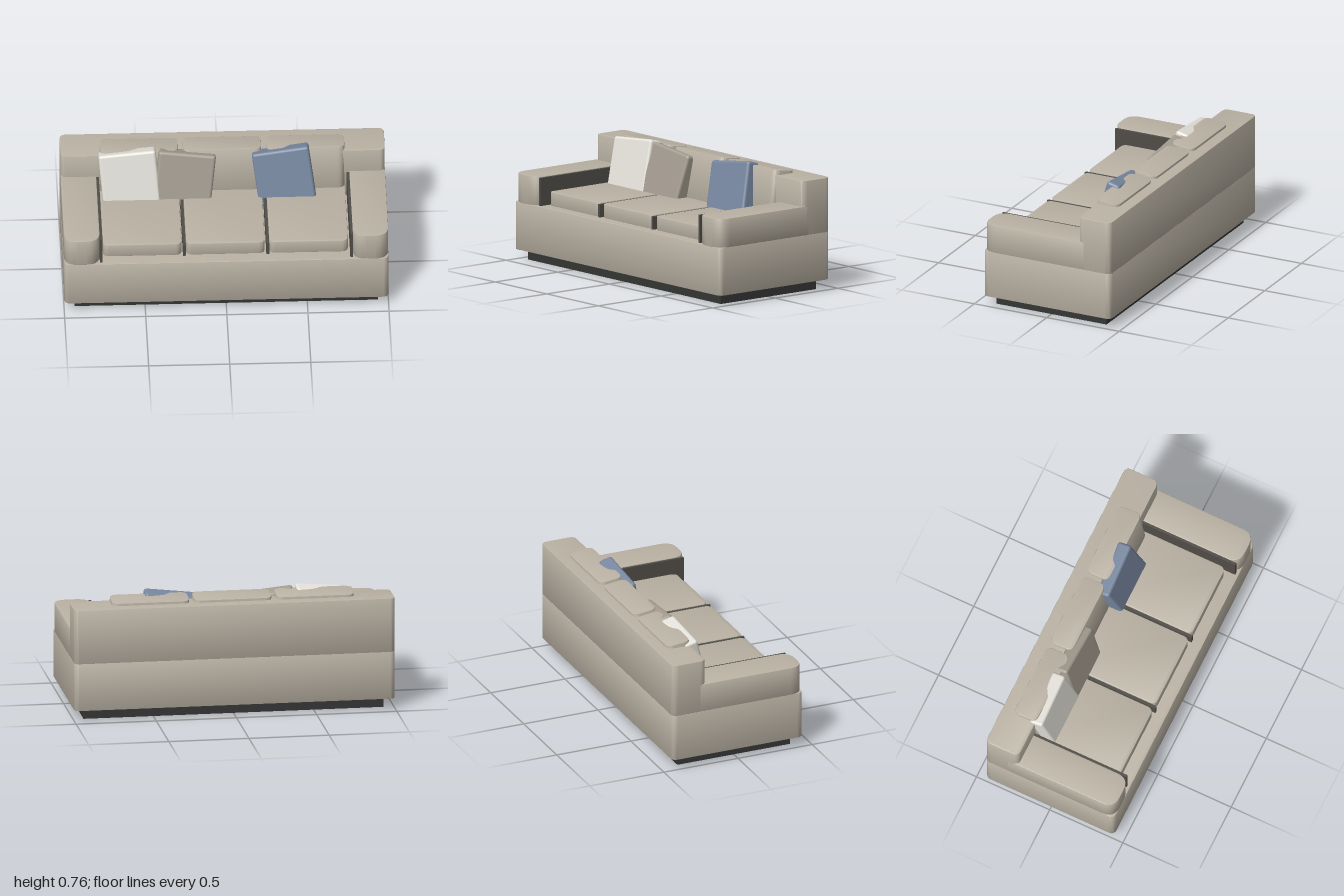
import * as THREE from 'three';
import { toCreasedNormals } from 'three/addons/utils/BufferGeometryUtils.js';
import { RoundedBoxGeometry } from 'three/addons/geometries/RoundedBoxGeometry.js';

const mat = (color) => new THREE.MeshStandardMaterial({ color });

// Upright block with rounded plan corners (rBack, rFront) and a fine softened edge, centred on its origin
function slab(w, h, d, rBack, rFront = rBack, bevel = 0.004) {
  const x = w / 2 - bevel, z = d / 2 - bevel;
  const s = new THREE.Shape();
  // shape y becomes -z, so the front is at negative shape y
  s.moveTo(-x + rFront, -z);
  s.lineTo(x - rFront, -z);
  s.quadraticCurveTo(x, -z, x, -z + rFront);
  s.lineTo(x, z - rBack);
  s.quadraticCurveTo(x, z, x - rBack, z);
  s.lineTo(-x + rBack, z);
  s.quadraticCurveTo(-x, z, -x, z - rBack);
  s.lineTo(-x, -z + rFront);
  s.quadraticCurveTo(-x, -z, -x + rFront, -z);
  const g = new THREE.ExtrudeGeometry(s, {
    depth: h - 2 * bevel, curveSegments: 8,
    bevelEnabled: true, bevelSize: bevel, bevelThickness: bevel, bevelSegments: 2,
  });
  g.translate(0, 0, bevel - h / 2);
  g.rotateX(-Math.PI / 2);
  return toCreasedNormals(g, 0.7);
}

export function createModel() {
  const sofa = new THREE.Group();
  sofa.name = 'sofa';
  const fabric = mat(0xbab2a4), seam = mat(0x504d47), dark = mat(0x343634);

  const add = (name, geometry, material, x, y, z) => {
    const m = new THREE.Mesh(geometry, material);
    m.name = name;
    m.position.set(x, y, z);
    sofa.add(m);
    return m;
  };

  // Recessed plinth, base and backrest
  add('plinth', new THREE.BoxGeometry(1.87, 0.07, 0.76), dark, 0, 0.035, 0);
  add('base', slab(2, 0.3, 0.88, 0.035), fabric, 0, 0.215, 0);
  add('backrest', slab(2, 0.342, 0.225, 0.035), fabric, 0, 0.534, -0.3275);

  // Arms with a dark strip along the inner side
  for (const side of [-1, 1]) {
    add('arm', slab(0.22, 0.182, 0.74, 0.01, 0.08), fabric, side * 0.89, 0.454, 0.07);
    add('armSeam', new THREE.BoxGeometry(0.016, 0.175, 0.67), seam, side * 0.772, 0.4525, 0.085);
    add('seatSeam', new THREE.BoxGeometry(0.018, 0.082, 0.58), seam, side * 0.257, 0.405, 0.08);
  }

  // Seat cushions and leaning back cushions
  for (const i of [-1, 0, 1]) {
    const x = i * 0.513 - 0.003;
    add('seatCushion', slab(0.485, 0.086, 0.58, 0.035), fabric, x, 0.407, 0.07);
    const back = add('backCushion', slab(0.482, 0.3, 0.155, 0.04), fabric, x, 0.581, -0.27);
    back.rotation.x = -0.12;
  }

  // Scatter pillows: x, y, roll, colour
  const pillows = [
    ['whitePillow', -0.577, 0.569, 0.085, 0xe3e0d9],
    ['taupePillow', -0.238, 0.556, -0.112, 0xa39b8f],
    ['bluePillow', 0.375, 0.568, 0.13, 0x7787a0],
  ];
  for (const [name, x, y, roll, color] of pillows) {
    const p = add(name, new RoundedBoxGeometry(0.355, 0.35, 0.09, 4, 0.018), mat(color), x, y, -0.17);
    p.rotation.set(-0.265, 0, roll);
  }
  return sofa;
}
